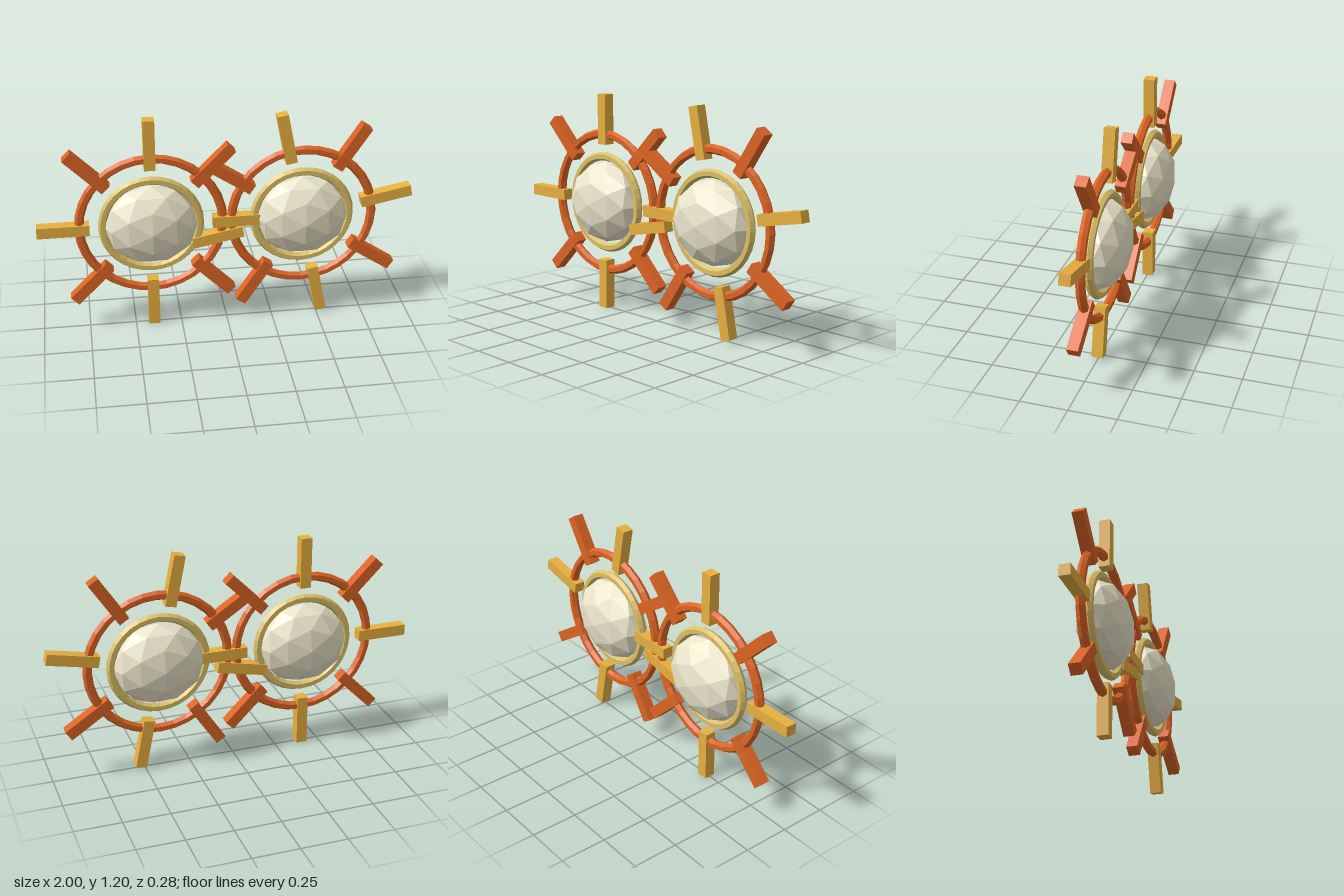
import * as THREE from 'three';

const paint = (color) => new THREE.MeshStandardMaterial({ color, flatShading: true });

export function createModel() {
  const model = new THREE.Group();
  const gold = paint(0xe8b040);
  const paleGold = paint(0xdcc068);
  const orange = paint(0xdc6424);
  const ivory = paint(0xece6cc);

  const add = (parent, name, geometry, material) => {
    const mesh = new THREE.Mesh(geometry, material);
    mesh.name = name;
    parent.add(mesh);
    return mesh;
  };

  // One wheel: faceted gem, inner ring, outer ring and eight radiating bars
  function createWheel(name, x, turn) {
    const wheel = new THREE.Group();
    wheel.name = name;
    wheel.position.set(x, 0.6, 0);

    const gem = add(wheel, 'gem', new THREE.IcosahedronGeometry(0.25, 1), ivory);
    gem.scale.set(1, 0.9, 0.55);

    add(wheel, 'innerRing', new THREE.TorusGeometry(0.256, 0.024, 6, 32), paleGold);
    add(wheel, 'outerRing', new THREE.TorusGeometry(0.38, 0.025, 6, 32), orange);

    // Bars alternate gold and orange
    const bars = new THREE.Group();
    bars.name = 'bars';
    bars.rotation.z = turn;
    wheel.add(bars);
    for (let i = 0; i < 8; i++) {
      const a = (i * Math.PI) / 4;
      const bar = add(bars, 'bar', new THREE.BoxGeometry(0.275, 0.06, 0.06), i % 2 ? orange : gold);
      bar.position.set(Math.cos(a) * 0.4625, Math.sin(a) * 0.4625, 0);
      bar.rotation.z = a;
    }
    model.add(wheel);
  }

  createWheel('rightWheel', -0.4, 0);
  createWheel('leftWheel', 0.406, 0.2);
  return model;
}
